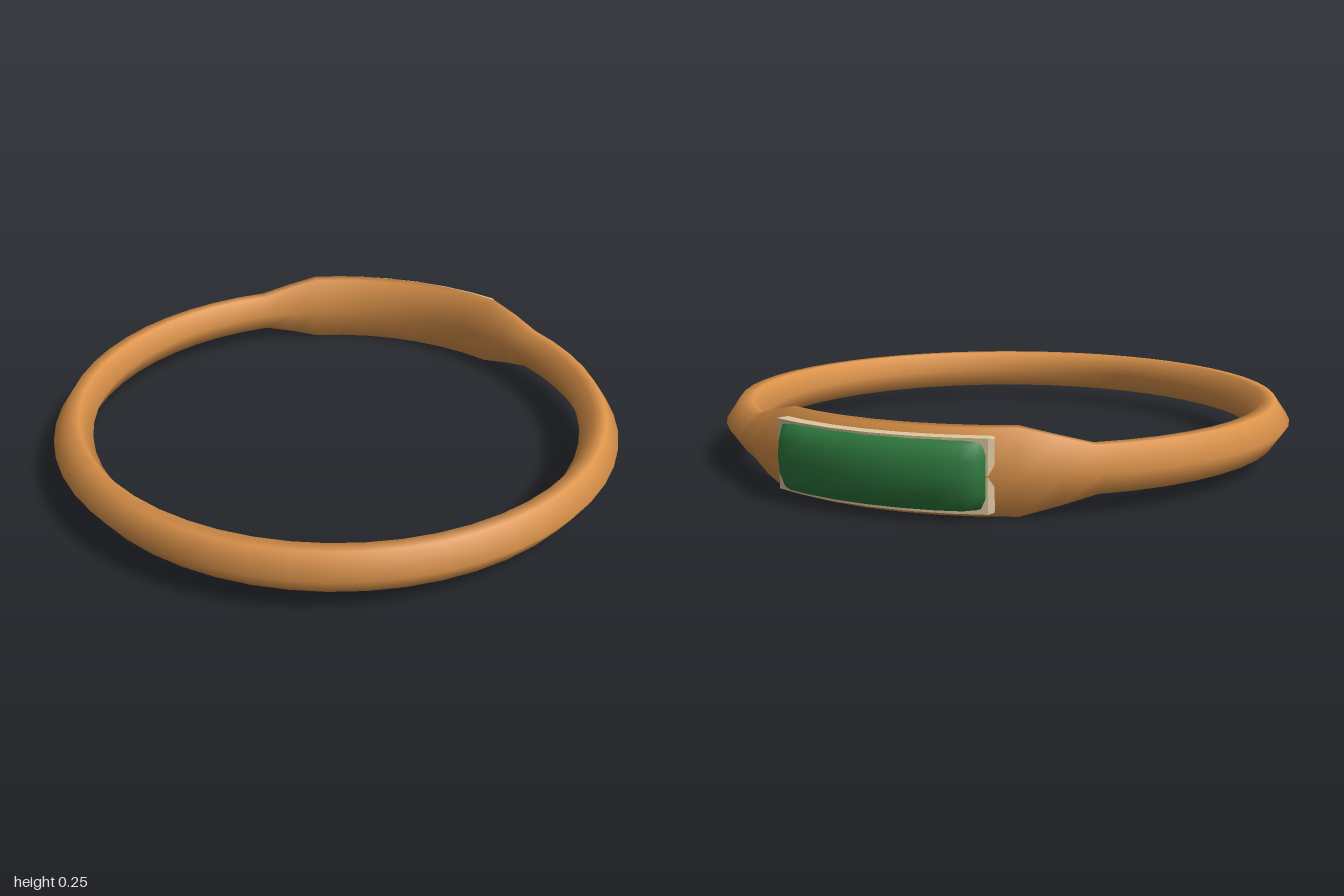
import * as THREE from 'three';
import { toCreasedNormals } from 'three/addons/utils/BufferGeometryUtils.js';

const CENTRE_Y = 0.128, CENTRE_Z = 0.0225;
const rad = THREE.MathUtils.degToRad;

// Sweeps closed cross-sections of [radius, height] around the vertical axis.
// Angles are in degrees, measured from the back (-z) towards +x.
function sweep(stations, closed) {
  const n = stations[0].section.length, count = stations.length;
  const positions = [], index = [];
  const put = (angle, r, y) => positions.push(
    r * Math.sin(rad(angle)), CENTRE_Y + y, CENTRE_Z - r * Math.cos(rad(angle)));
  for (const { angle, section } of stations) for (const [r, y] of section) put(angle, r, y);
  for (let s = 0; s < (closed ? count : count - 1); s++) {
    const t = (s + 1) % count;
    for (let i = 0; i < n; i++) {
      const j = (i + 1) % n;
      index.push(s * n + i, s * n + j, t * n + i, s * n + j, t * n + j, t * n + i);
    }
  }
  // End caps with their own vertices so they stay crisp
  if (!closed) {
    for (const [station, last] of [[stations[0], false], [stations[count - 1], true]]) {
      const base = positions.length / 3;
      for (const [r, y] of station.section) put(station.angle, r, y);
      for (let i = 1; i < n - 1; i++) {
        if (last) index.push(base, base + i, base + i + 1);
        else index.push(base, base + i + 1, base + i);
      }
    }
  }
  const geometry = new THREE.BufferGeometry();
  geometry.setAttribute('position', new THREE.Float32BufferAttribute(positions, 3));
  geometry.setIndex(index);
  geometry.computeVertexNormals();
  return geometry;
}

// Six-sided band that grows taller at the back to hold the stone
function bandGeometry() {
  const segments = 52, stations = [];
  for (let s = 0; s < segments; s++) {
    const flare = THREE.MathUtils.clamp(Math.min(s, 11 - s) / 2, 0, 1);
    const h = 0.07 + 0.056 * flare;
    stations.push({
      angle: -40 + s * 360 / segments,
      section: [[0.975, 0], [0.927, h], [0.885, h], [0.844, 0], [0.885, -h], [0.927, -h]],
    });
  }
  return sweep(stations, true);
}

// Thin curved plate under the stone
function settingGeometry() {
  const stations = [];
  for (let s = 0; s <= 8; s++) {
    const end = s === 0 || s === 8;
    const r = end ? 0.962 : 0.973, h = end ? 0.104 : 0.107;
    stations.push({
      angle: [-22, -21, -15, -8, -0.5, 7, 14, 20, 21][s],
      section: [[r, h], [0.92, h], [0.92, -h], [r, -h]],
    });
  }
  return toCreasedNormals(sweep(stations, false), rad(35));
}

// Domed curved stone with bevelled ends
function stoneGeometry() {
  const profile = [[1.02, 0], [1.015, 0.05], [0.993, 0.094], [0.955, 0.105], [0.93, 0.105],
    [0.93, -0.105], [0.955, -0.105], [0.993, -0.094], [1.015, -0.05]];
  const half = [[20, 0.55, 0.96], [18.6, 0.78, 0.98], [16.3, 0.96, 1], [12, 1, 1], [6, 1, 1]];
  const rows = [...half.map(([a, k, w]) => [-a, k, w]), [0, 1, 1], ...half.reverse()];
  const stations = rows.map(([a, k, w]) => ({
    angle: a - 0.6,
    section: profile.map(([r, y]) => [0.93 + (r - 0.93) * k, y * w]),
  }));
  return sweep(stations, false);
}

export function createModel() {
  const model = new THREE.Group();
  model.name = 'ring';
  const add = (name, geometry, color) => {
    const mesh = new THREE.Mesh(geometry, new THREE.MeshStandardMaterial({ color }));
    mesh.name = name;
    model.add(mesh);
  };
  add('band', bandGeometry(), 0xdc934a);
  add('stoneSetting', settingGeometry(), 0xdcc8a0);
  add('stone', stoneGeometry(), 0x2f7a3f);
  return model;
}
